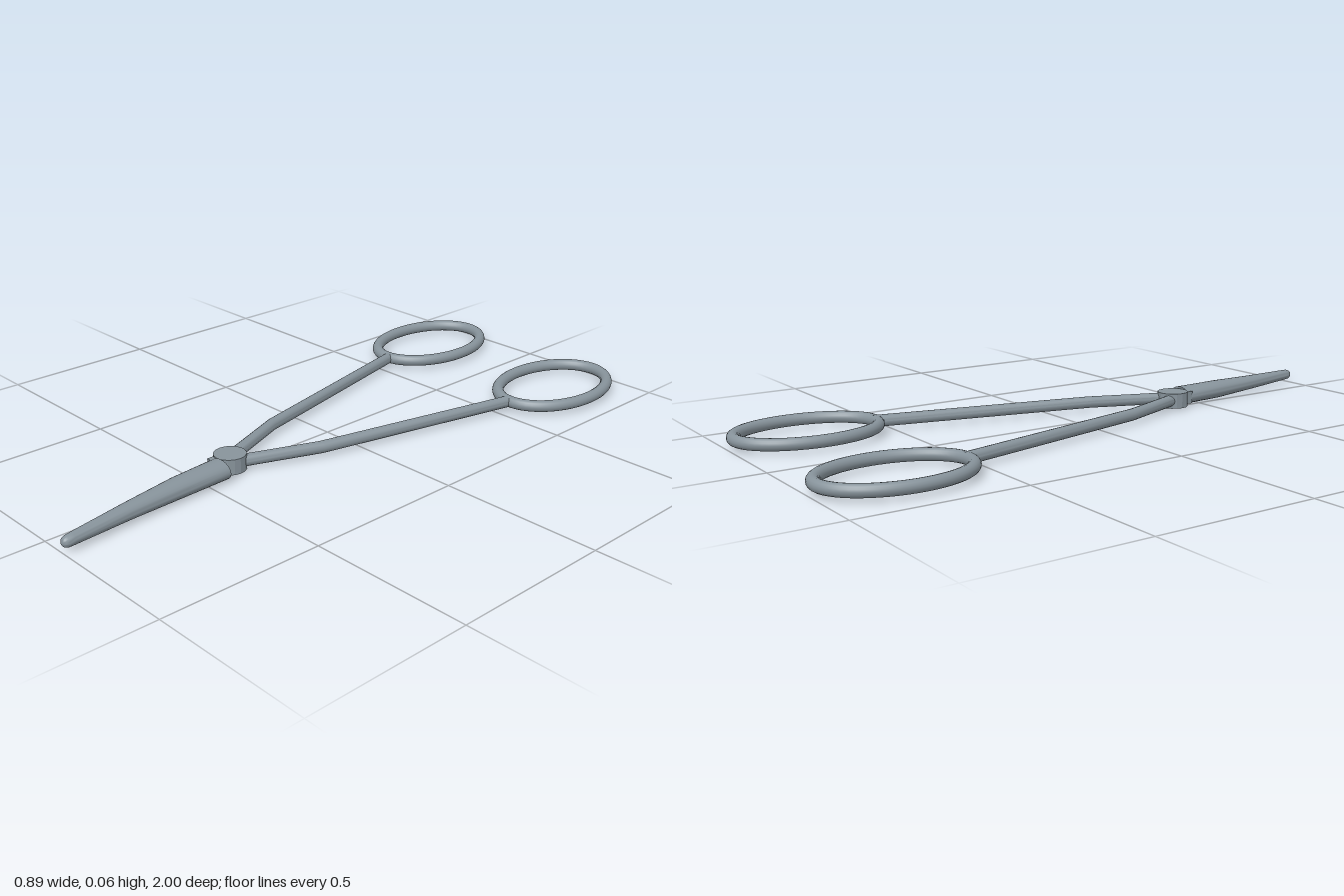
import * as THREE from 'three';
import { toCreasedNormals } from 'three/addons/utils/BufferGeometryUtils.js';

const MID = 0.031; // height of the tool's middle plane
const WIRE = 0.0185; // radius of the handle wire

// Capped loft through elliptical sections [x, z, halfWidth, halfHeight], z increasing
function loft(sections, sides = 24) {
  const pos = [], index = [];
  for (const [x, z, rx, ry] of sections) {
    for (let j = 0; j < sides; j++) {
      const a = (j / sides) * Math.PI * 2;
      pos.push(x + rx * Math.cos(a), MID + ry * Math.sin(a), z);
    }
  }
  const last = sections.length - 1;
  const start = pos.length / 3, end = start + 1;
  pos.push(sections[0][0], MID, sections[0][1], sections[last][0], MID, sections[last][1]);
  for (let j = 0; j < sides; j++) {
    const k = (j + 1) % sides;
    for (let i = 0; i < last; i++) {
      const a = i * sides + j, b = i * sides + k;
      index.push(a, b, a + sides, b, b + sides, a + sides);
    }
    index.push(start, k, j, end, last * sides + j, last * sides + k);
  }
  const geo = new THREE.BufferGeometry();
  geo.setAttribute('position', new THREE.Float32BufferAttribute(pos, 3));
  geo.setIndex(index);
  return toCreasedNormals(geo, 0.7);
}

export function createModel() {
  const group = new THREE.Group();
  const steel = new THREE.MeshStandardMaterial({ color: 0x87939b });
  steel.name = 'steel';
  const add = (name, geo) => {
    const mesh = new THREE.Mesh(geo, steel);
    mesh.name = name;
    group.add(mesh);
    return mesh;
  };

  for (const [side, s] of [['left', 1], ['right', -1]]) {
    // Oval finger ring
    const points = [];
    for (let i = 0; i < 32; i++) {
      const a = (i / 32) * Math.PI * 2;
      points.push(new THREE.Vector3(s * 0.277 + 0.149 * Math.cos(a), MID, -0.765 + 0.217 * Math.sin(a)));
    }
    const oval = new THREE.CatmullRomCurve3(points, true);
    add(side + 'FingerRing', new THREE.TubeGeometry(oval, 64, WIRE, 16, true));

    // Bent shank from ring to pivot
    add(side + 'Shank', loft([
      [s * 0.27, -0.555, WIRE, WIRE],
      [s * 0.112, 0.13, WIRE * 1.05, WIRE],
      [s * 0.012, 0.385, WIRE * 1.08, WIRE],
    ], 16));
  }

  // Pivot disc
  add('pivot', toCreasedNormals(new THREE.CylinderGeometry(0.049, 0.049, 0.048, 16), 0.3))
    .position.set(0, MID, 0.385);

  // Small neck joining the pivot to the jaws
  add('jawNeck', new THREE.BoxGeometry(0.045, 0.04, 0.06)).position.set(0.0, MID, 0.42);

  // Closed jaws, tapering to a rounded tip
  add('jaws', loft([
    [0.024, 0.437, 0.046, 0.029],
    [0.035, 0.6, 0.039, 0.029],
    [0.055, 0.78, 0.029, 0.023],
    [0.081, 0.965, 0.019, 0.0175],
    [0.084, 0.985, 0.0175, 0.0165],
    [0.085, 0.995, 0.013, 0.013],
    [0.085, 1.0, 0.006, 0.006],
  ]));

  return group;
}
